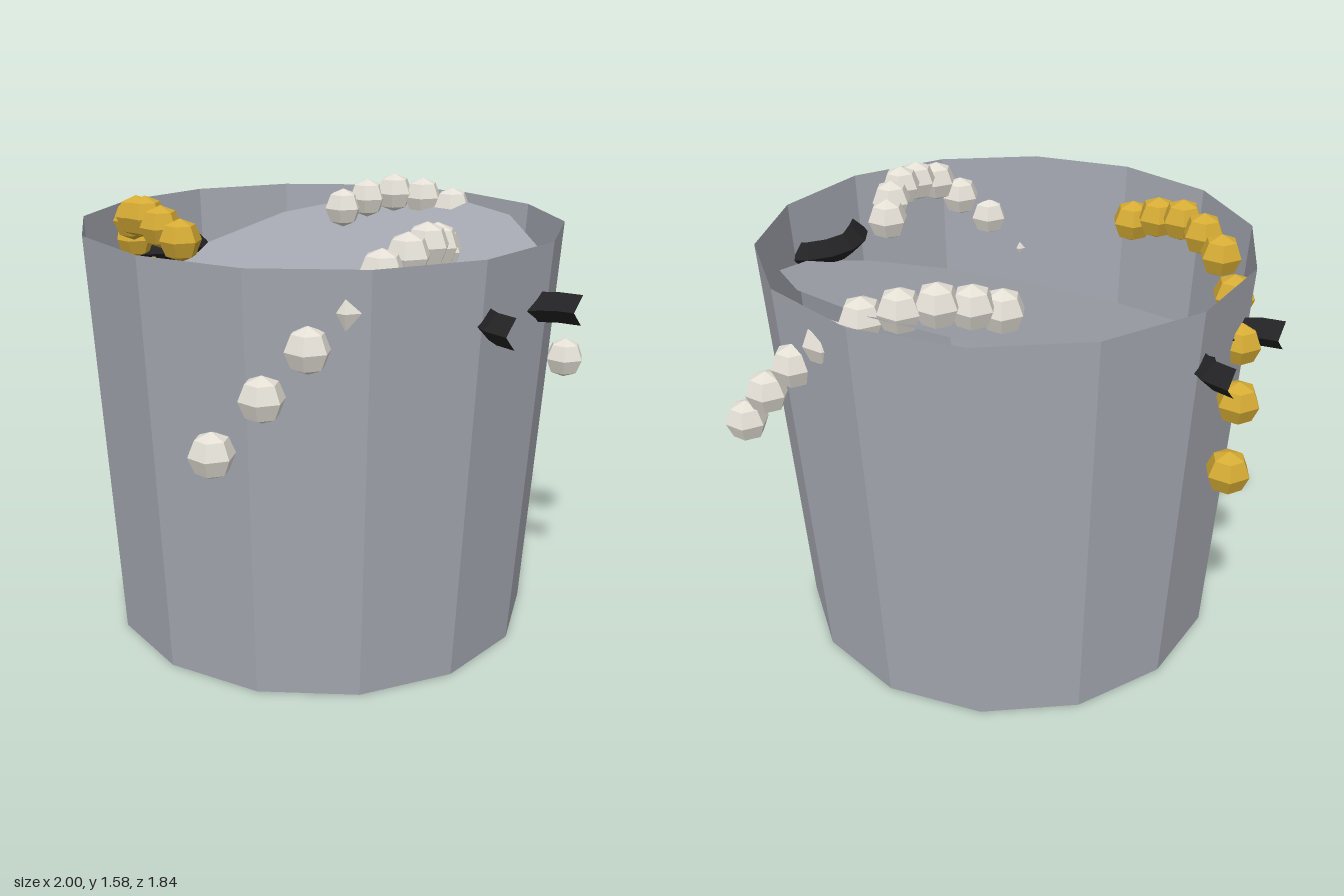
import * as THREE from 'three';

const material = (color, side = THREE.FrontSide) =>
  new THREE.MeshStandardMaterial({ color, side, flatShading: true });

export function createModel() {
  const model = new THREE.Group();
  // Everything is laid out around the bucket's axis
  const bucket = new THREE.Group();
  bucket.name = 'bucket';
  bucket.position.set(0.03, 0, -0.045);
  model.add(bucket);

  const add = (parent, name, geometry, mat, x = 0, y = 0, z = 0) => {
    const mesh = new THREE.Mesh(geometry, mat);
    mesh.name = name;
    mesh.position.set(x, y, z);
    parent.add(mesh);
    return mesh;
  };

  const SIDES = 14, HEIGHT = 1.495, TOP = 0.875, BASE = 0.79;
  const metal = material(0xa4a7b0, THREE.DoubleSide);

  // Tapered open wall and floor
  add(bucket, 'wall', new THREE.CylinderGeometry(TOP, BASE, HEIGHT, SIDES, 1, true), metal, 0, HEIGHT / 2, 0);
  const disc = (radius) => new THREE.CircleGeometry(radius, SIDES, Math.PI / 2);
  add(bucket, 'floor', disc(BASE), metal).rotation.x = Math.PI / 2;

  // Inner surface, tilted down towards the front
  add(bucket, 'innerSurface', disc(0.82), metal, 0, 1.215, 0).rotation.x = -Math.PI / 2 + 0.34;

  // Half-ring handles, open ends pointing outwards
  const handleGeometry = new THREE.TorusGeometry(0.2, 0.052, 4, 8, Math.PI);
  handleGeometry.rotateX(Math.PI / 2);
  handleGeometry.rotateY(-Math.PI / 2);
  const black = material(0x222224);
  for (const side of [1, -1]) {
    const handle = add(bucket, side > 0 ? 'leftHandle' : 'rightHandle', handleGeometry, black, side * 0.97, 1.28, 0);
    // the arc must bulge towards the bucket's axis
    handleGeometry.computeBoundingBox();
    const bulge = Math.sign(handleGeometry.boundingBox.min.x + handleGeometry.boundingBox.max.x);
    handle.rotation.y = bulge === -side ? 0 : Math.PI;
  }

  // Bead strands draped over the rim, one every 120 degrees
  const beadGeometry = new THREE.SphereGeometry(0.077, 6, 4);
  const path = [
    [0.35, 0.925, 0.9], [0.455, 1.1, 0.785], [0.535, 1.245, 0.665],
    [0.59, 1.36, 0.54], [0.615, 1.455, 0.415], [0.622, 1.49, 0.295],
    [0.61, 1.505, 0.18], [0.575, 1.485, 0.075], [0.525, 1.45, -0.015],
  ];
  const pearl = material(0xe4e0d6), gold = material(0xd6ac35);
  const strands = [['frontStrand', pearl], ['goldStrand', gold], ['backStrand', pearl]];
  strands.forEach(([name, mat], i) => {
    const strand = new THREE.Group();
    strand.name = name;
    strand.rotation.y = -i * Math.PI * 2 / 3;
    path.forEach(([x, y, z]) => add(strand, 'bead', beadGeometry, mat, x, y, z));
    bucket.add(strand);
  });

  return model;
}
